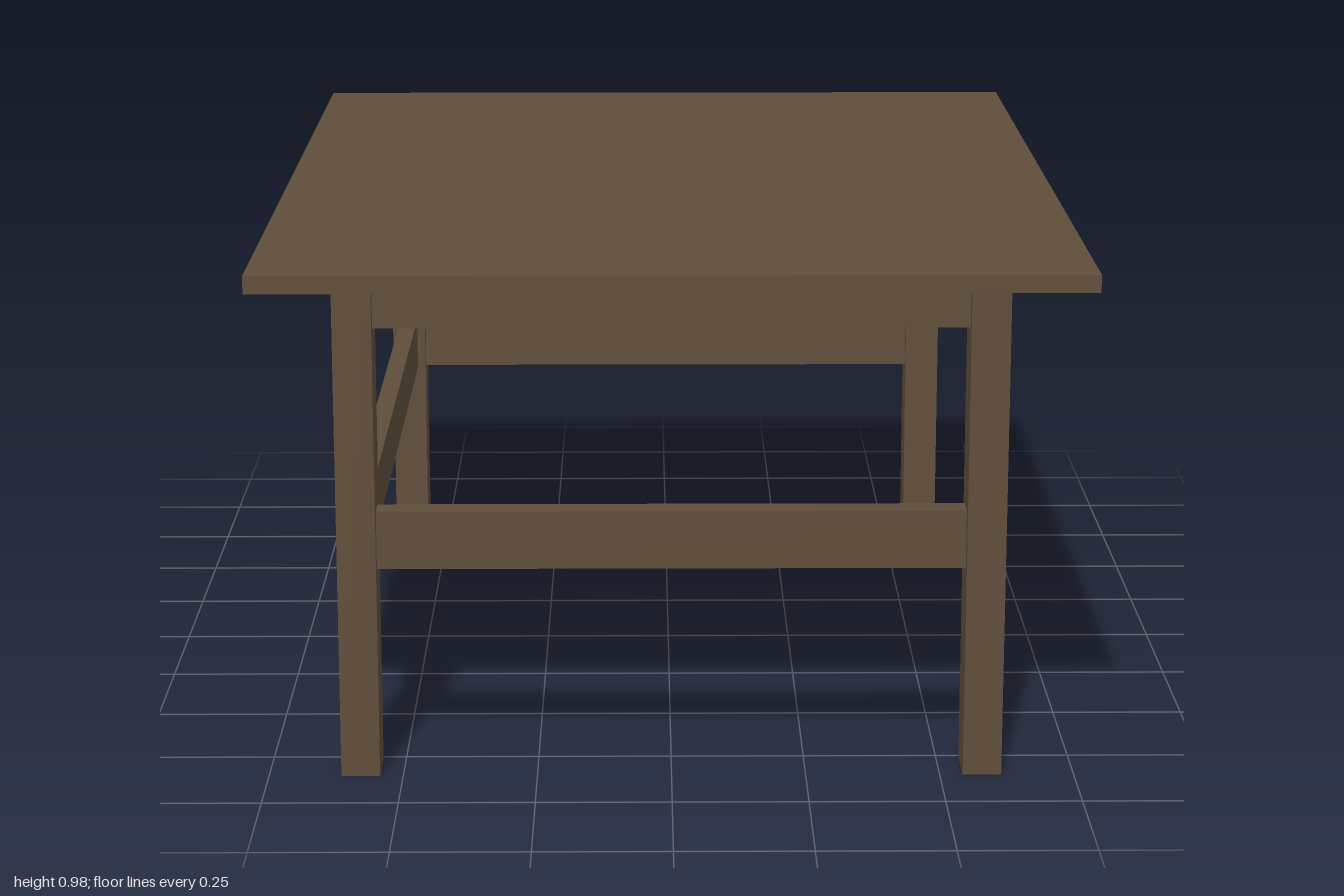
import * as THREE from 'three';

export function createModel() {
  const table = new THREE.Group();
  table.name = 'table';
  const wood = new THREE.MeshStandardMaterial({ color: 0x5f4d3a });
  wood.name = 'brown wood';

  function box(name, w, h, d, x, y, z) {
    const mesh = new THREE.Mesh(new THREE.BoxGeometry(w, h, d), wood);
    mesh.name = name;
    mesh.position.set(x, y, z);
    table.add(mesh);
  }

  const topY = 0.983, under = 0.95;
  const legX = 0.579, legZ = 0.808;   // leg centres
  const legW = 0.072, legD = 0.095;   // leg section
  const railW = 0.037, railD = 0.05;  // rail thickness along x and z
  const spanX = 2 * legX - legW, spanZ = 2 * legZ - legD;
  const apronH = 0.1, stretcherH = 0.11, stretcherY = 0.45;

  // Top board
  box('tableTop', 1.515, topY - under, 2, 0, (topY + under) / 2, 0);

  // Legs
  for (const sx of [-1, 1]) {
    for (const sz of [-1, 1]) {
      box(`${sz > 0 ? 'front' : 'back'}${sx > 0 ? 'Left' : 'Right'}Leg`,
        legW, under, legD, sx * legX, under / 2, sz * legZ);
    }
  }

  // End rails: apron and lower stretcher at front and back
  for (const sz of [-1, 1]) {
    const end = sz > 0 ? 'front' : 'back';
    box(`${end}Apron`, spanX, apronH, railD, 0, under - apronH / 2, sz * legZ);
    box(`${end}Stretcher`, spanX, stretcherH, railD, 0, stretcherY, sz * legZ);
  }

  // Side rails: aprons on both sides, one stretcher only, leaving the other side open
  for (const sx of [-1, 1]) {
    box(`${sx > 0 ? 'left' : 'right'}Apron`, railW, apronH, spanZ, sx * legX, under - apronH / 2, 0);
  }
  box('rightStretcher', railW, stretcherH, spanZ, -legX, stretcherY, 0);

  return table;
}
